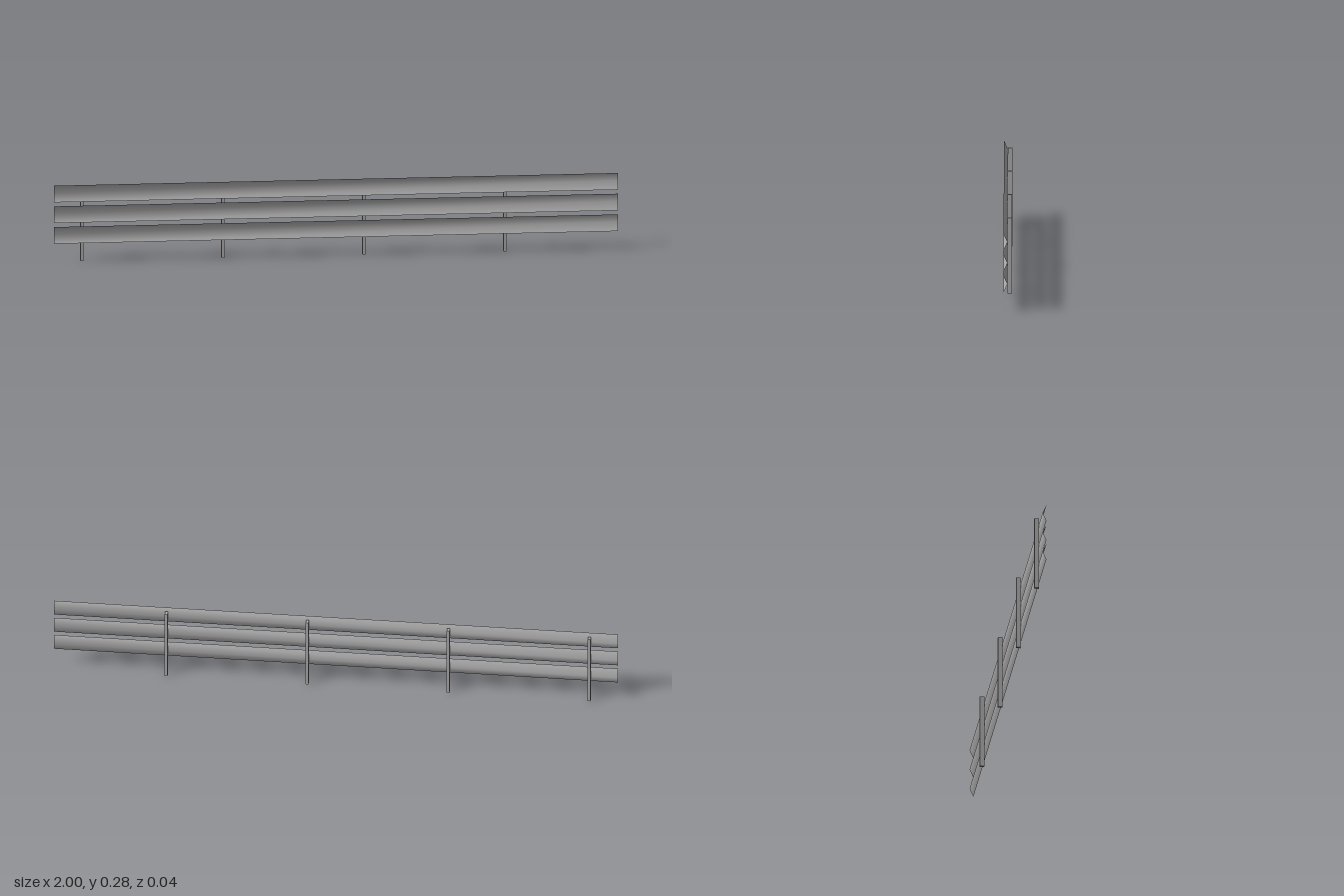
import * as THREE from 'three';

export function createModel() {
  const model = new THREE.Group();
  model.name = 'guardrail';
  const steel = new THREE.MeshStandardMaterial({ color: 0xb0b0b0, side: THREE.DoubleSide });
  steel.name = 'galvanised steel';

  // The fence line runs very slightly off the x axis
  const fence = new THREE.Group();
  fence.name = 'fence';
  fence.rotation.y = -0.0038;
  model.add(fence);

  // Folded sheet rail: V section opening to the front, smooth across the fold
  const foldZ = 0.0018, lipZ = 0.0153;
  const railGeometry = new THREE.PlaneGeometry(2, 0.0605, 1, 2);
  const position = railGeometry.attributes.position;
  for (let i = 0; i < position.count; i++) {
    position.setZ(i, Math.abs(position.getY(i)) < 0.001 ? foldZ : lipZ);
  }
  railGeometry.computeVertexNormals();
  ['lowerRail', 'middleRail', 'upperRail'].forEach((name, i) => {
    const rail = new THREE.Mesh(railGeometry, steel);
    rail.name = name;
    rail.position.y = 0.098 + i * 0.075;
    fence.add(rail);
  });

  // Posts behind the rails, touching the folds
  const depth = 0.0163, height = 0.27;
  const postGeometry = new THREE.BoxGeometry(0.01, height, depth);
  for (let i = 0; i < 4; i++) {
    const post = new THREE.Mesh(postGeometry, steel);
    post.name = 'post' + (i + 1);
    post.position.set(-0.9 + i * 0.5, height / 2, foldZ - depth / 2);
    fence.add(post);
  }
  return model;
}
